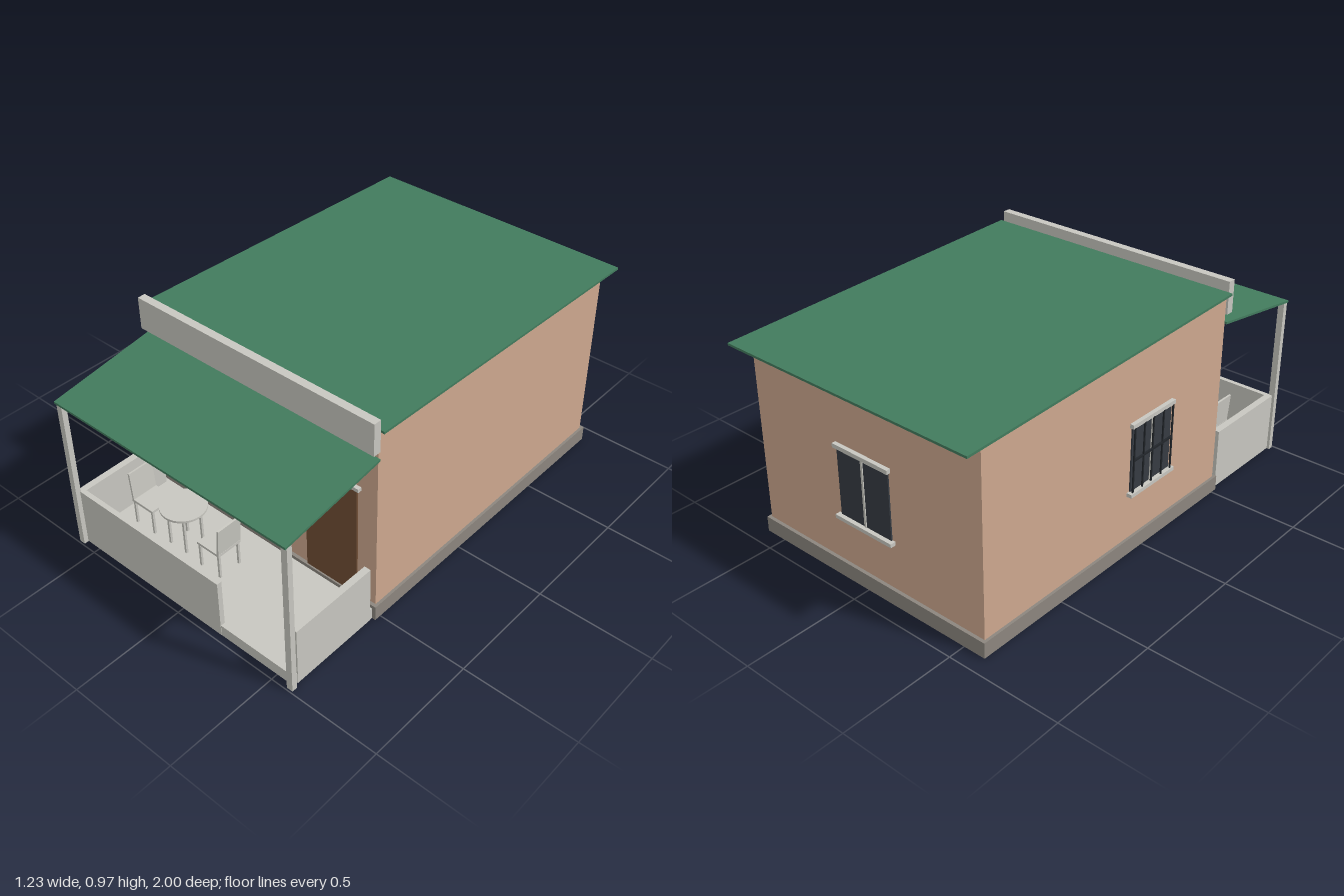
import * as THREE from 'three';

const mat = (name, color, side = THREE.FrontSide) => {
  const m = new THREE.MeshStandardMaterial({ color, side });
  m.name = name;
  return m;
};

export function createModel() {
  const root = new THREE.Group();
  root.name = 'house';
  const plaster = mat('peach plaster', 0xcda88f);
  const trim = mat('pale concrete', 0xc8c7c0);
  const plinthGrey = mat('plinth grey', 0x8c867e);
  const green = mat('green roofing', 0x427b5d);
  const glass = mat('dark glass', 0x363b42);
  const iron = mat('black iron', 0x22262b);
  const wood = mat('brown wood', 0x704e35);

  // Box given by its lower and upper corners
  const box = (parent, name, m, x0, x1, y0, y1, z0, z1) => {
    const mesh = new THREE.Mesh(new THREE.BoxGeometry(x1 - x0, y1 - y0, z1 - z0), m);
    mesh.position.set((x0 + x1) / 2, (y0 + y1) / 2, (z0 + z1) / 2);
    mesh.name = name;
    parent.add(mesh);
    return mesh;
  };
  // Side profile of [z, y] points, extruded across x
  const profile = (name, m, pts, halfWidth) => {
    const shape = new THREE.Shape(pts.map(([z, y]) => new THREE.Vector2(-z, y)));
    const geo = new THREE.ExtrudeGeometry(shape, { depth: halfWidth * 2, bevelEnabled: false });
    geo.translate(0, 0, -halfWidth).rotateY(Math.PI / 2);
    const mesh = new THREE.Mesh(geo, m);
    mesh.name = name;
    root.add(mesh);
  };

  // House body and roofs
  box(root, 'plinth', plinthGrey, -0.6, 0.6, 0, 0.068, -0.925, 0.53);
  profile('walls', plaster, [[0.515, 0.06], [-0.91, 0.06], [-0.91, 0.87], [0.515, 0.917]], 0.588);
  profile('mainRoof', green, [[0.515, 0.917], [-1, 0.867], [-1, 0.877], [0.515, 0.927]], 0.613);
  profile('porchRoof', green, [[1, 0.717], [0.515, 0.788], [0.515, 0.798], [1, 0.727]], 0.598);
  box(root, 'parapet', trim, -0.597, 0.597, 0.83, 0.972, 0.515, 0.55);

  // Window centred on its own x, facing +z with the wall at z = 0
  const addWindow = (name, w, y0, y1, bars) => {
    const g = new THREE.Group();
    g.name = name;
    const h = w / 2;
    box(g, 'glass', glass, -h, h, y0, y1, -0.005, 0.006);
    box(g, 'mullion', trim, -0.005, 0.005, y0, y1, 0, 0.01);
    box(g, 'lintel', trim, -h - 0.01, h + 0.01, y1 - 0.002, y1 + 0.016, 0, 0.018);
    box(g, 'sill', trim, -h - 0.015, h + 0.015, y0 - 0.016, y0, 0, 0.024);
    if (bars) {
      for (let i = 0; i <= 4; i++) {
        const x = -h + 0.003 + (i * (w - 0.006)) / 4 - (i === 2 ? 0.004 : 0);
        box(g, 'upright bar', iron, x - 0.003, x + 0.003, y0, y1, 0.013, 0.019);
      }
      const mid = (y0 + y1) / 2;
      box(g, 'cross bar', iron, -h, h, mid - 0.004, mid + 0.004, 0.012, 0.02);
    }
    root.add(g);
    return g;
  };
  addWindow('frontWindowLarge', 0.342, 0.285, 0.63, true).position.set(-0.344, 0, 0.515);
  addWindow('frontWindowSmall', 0.258, 0.285, 0.63, true).position.set(0.056, 0, 0.515);
  const side = addWindow('sideWindow', 0.25, 0.285, 0.575, true);
  side.position.set(-0.588, 0, 0.04);
  side.rotation.y = -Math.PI / 2;
  const back = addWindow('backWindow', 0.27, 0.285, 0.58, false);
  back.position.set(0, 0, -0.91);
  back.rotation.y = Math.PI;

  // Front door
  box(root, 'door', wood, 0.242, 0.497, 0.068, 0.603, 0.505, 0.523);
  box(root, 'doorLintel', trim, 0.226, 0.512, 0.602, 0.618, 0.515, 0.533);

  // Porch floor, low walls and posts
  box(root, 'porchFloor', trim, -0.583, 0.583, 0, 0.052, 0.53, 0.97);
  box(root, 'porchFrontWall', trim, -0.585, 0.21, 0.002, 0.272, 0.95, 0.972);
  for (const s of [-1, 1]) {
    const wall = box(root, 'porchSideWall', trim, 0.556, 0.586, 0.002, 0.272, 0.545, 0.95);
    wall.position.x *= s;
    const post = box(root, 'porchPost', trim, 0.569, 0.597, 0, 0.722, 0.968, 0.992);
    post.position.x *= s;
  }

  // Round table
  const table = new THREE.Group();
  table.name = 'table';
  table.position.set(-0.22, 0, 0.74);
  const top = new THREE.Mesh(new THREE.CylinderGeometry(0.097, 0.097, 0.01, 32), trim);
  top.position.y = 0.245;
  top.name = 'table top';
  table.add(top);
  for (const x of [-0.045, 0.045])
    for (const z of [-0.045, 0.045])
      box(table, 'table leg', trim, x - 0.005, x + 0.005, 0.05, 0.242, z - 0.005, z + 0.005);
  root.add(table);

  // Pair of chairs facing the table
  for (const s of [-1, 1]) {
    const chair = new THREE.Group();
    chair.name = 'chair';
    box(chair, 'seat', trim, -0.06, 0.06, 0.165, 0.177, -0.06, 0.06);
    const rest = box(chair, 'backrest', trim, -0.064, -0.055, 0.172, 0.306, -0.06, 0.06);
    rest.rotation.z = 0.08;
    for (const x of [-0.052, 0.052])
      for (const z of [-0.052, 0.052])
        box(chair, 'chair leg', trim, x - 0.005, x + 0.005, 0.05, 0.168, z - 0.005, z + 0.005);
    chair.position.set(-0.217 + s * 0.19, 0, 0.74);
    if (s > 0) chair.rotation.y = Math.PI;
    root.add(chair);
  }
  return root;
}
